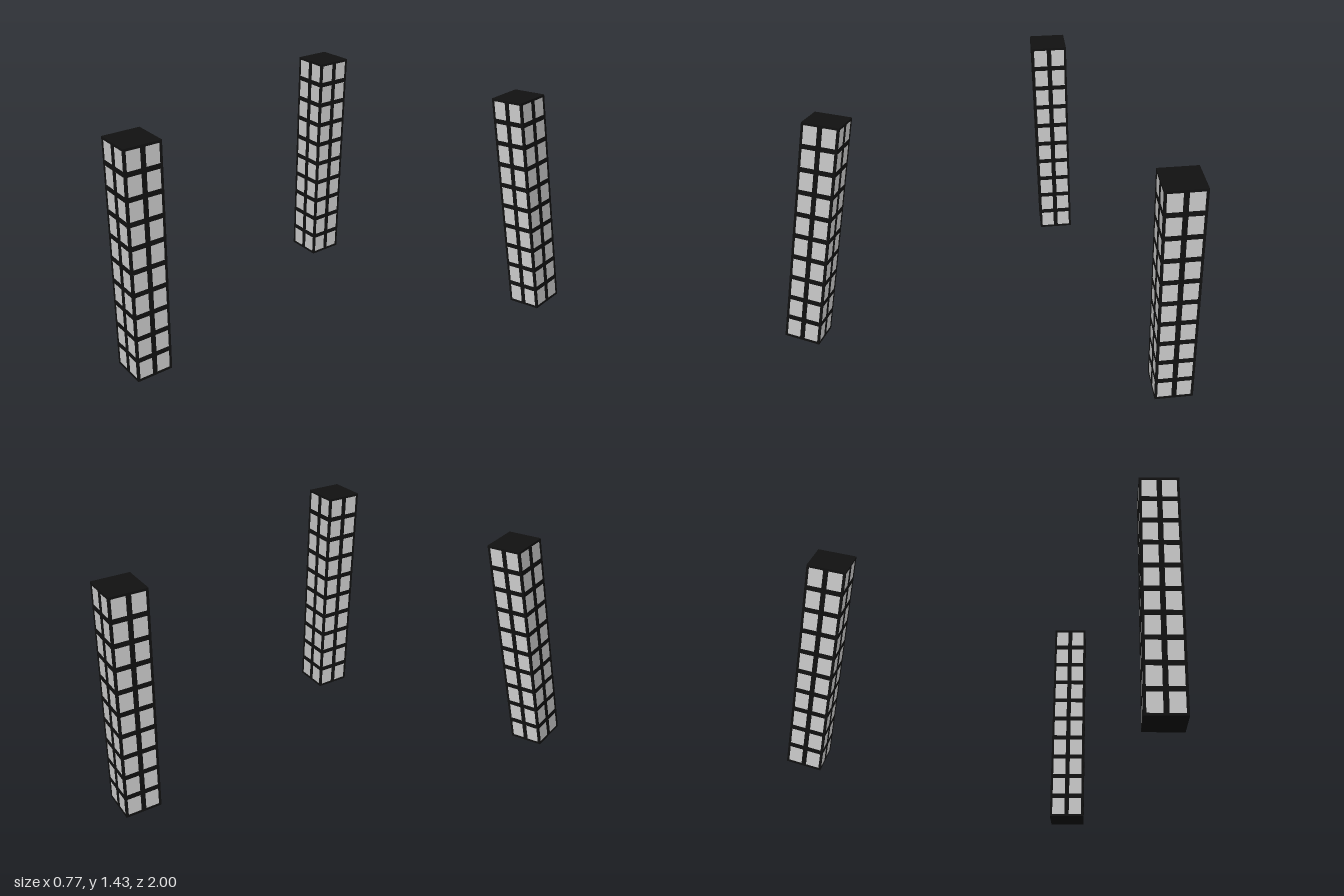
import * as THREE from 'three';
import { mergeGeometries } from 'three/addons/utils/BufferGeometryUtils.js';

const WIDTH = 0.224, HEIGHT = 1.412, FLOORS = 10;
const EDGE = 0.0145;            // border of one window cell
const RECESS = 0.003;           // panes sit just behind the frame
const STEP = HEIGHT / FLOORS;

const frameMaterial = new THREE.MeshStandardMaterial({ color: 0x111111 });
const paneMaterial = new THREE.MeshStandardMaterial({ color: 0xcccccc });

function box(w, h, d, x, y, z) {
  return new THREE.BoxGeometry(w, h, d).translate(x, y, z);
}

// Floor slabs, thinner at the base and roof
function createSlabs() {
  const slabs = [];
  for (let i = 0; i <= FLOORS; i++) {
    const low = Math.max(0, i * STEP - EDGE);
    const high = Math.min(HEIGHT, i * STEP + EDGE);
    slabs.push(box(WIDTH, high - low, WIDTH, 0, (low + high) / 2, 0));
  }
  return mergeGeometries(slabs);
}

// Corner posts and the central mullion of every side, floor by floor
function createPosts() {
  const posts = [];
  const corner = WIDTH / 2 - EDGE / 2;
  const gap = STEP - 2 * EDGE;
  for (let i = 0; i < FLOORS; i++) {
    const y = (i + 0.5) * STEP;
    for (const s of [-1, 1]) {
      for (const t of [-1, 1]) posts.push(box(EDGE, gap, EDGE, s * corner, y, t * corner));
      posts.push(box(2 * EDGE, gap, EDGE, 0, y, s * corner));
      posts.push(box(EDGE, gap, 2 * EDGE, s * corner, y, 0));
    }
  }
  return mergeGeometries(posts);
}

// Window panes: one grey core per floor, showing between the bars
function createPanes() {
  const panes = [];
  const w = WIDTH - 2 * RECESS;
  for (let i = 0; i < FLOORS; i++) {
    panes.push(box(w, STEP - 2 * EDGE, w, 0, (i + 0.5) * STEP, 0));
  }
  return mergeGeometries(panes);
}

export function createModel() {
  const model = new THREE.Group();
  model.name = 'twinTowers';

  const parts = [
    ['floorSlabs', createSlabs(), frameMaterial],
    ['windowPosts', createPosts(), frameMaterial],
    ['windowPanes', createPanes(), paneMaterial],
  ];

  // Two equal towers on opposite corners, the front one standing slightly higher
  for (const [name, x, y, z] of [
    ['backTower', -0.271, 0, -0.888],
    ['frontTower', 0.271, 0.016, 0.888],
  ]) {
    const tower = new THREE.Group();
    tower.name = name;
    for (const [partName, geometry, material] of parts) {
      const mesh = new THREE.Mesh(geometry, material);
      mesh.name = partName;
      tower.add(mesh);
    }
    tower.position.set(x, y, z);
    model.add(tower);
  }
  return model;
}
